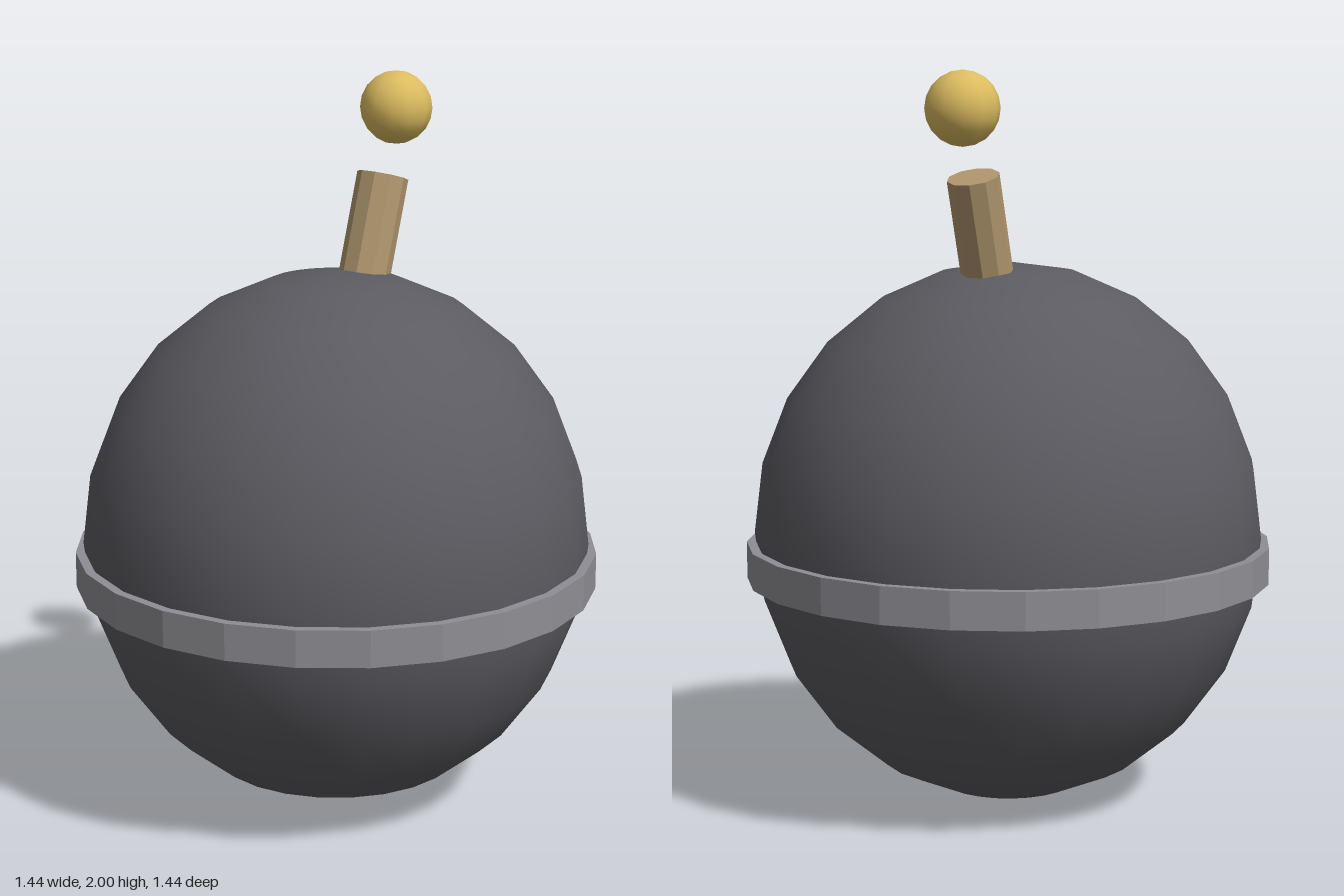
import * as THREE from 'three';

const bodyMat = new THREE.MeshStandardMaterial({ name: 'charcoal', color: 0x5b5b61 });
const bandMat = new THREE.MeshStandardMaterial({ name: 'grey metal', color: 0x8e8e94, flatShading: true });
const stemMat = new THREE.MeshStandardMaterial({ name: 'tan', color: 0xb0966e, flatShading: true });
const sparkMat = new THREE.MeshStandardMaterial({ name: 'gold', color: 0xdcbc60 });

function add(group, name, geometry, material, x, y) {
  const mesh = new THREE.Mesh(geometry, material);
  mesh.name = name;
  mesh.position.set(x, y, 0);
  group.add(mesh);
  return mesh;
}

export function createModel() {
  const group = new THREE.Group();
  group.name = 'roundBomb';

  // Slightly tall round body
  const bodyGeo = new THREE.SphereGeometry(0.7, 24, 12);
  bodyGeo.scale(1, 1.06, 1);
  add(group, 'body', bodyGeo, bodyMat, 0, 0.742);

  // Flat band just below the middle
  add(group, 'band', new THREE.CylinderGeometry(0.722, 0.722, 0.1, 24), bandMat, 0, 0.665);

  // Leaning stem, its foot sunk into the body
  const tilt = 0.3, length = 0.34;
  const stem = add(group, 'fuseStem', new THREE.CylinderGeometry(0.071, 0.071, length, 10), stemMat,
    0.208 - Math.sin(tilt) * length / 2, 1.72 - Math.cos(tilt) * length / 2);
  stem.rotation.z = -tilt;

  // Spark floating above the stem
  add(group, 'spark', new THREE.SphereGeometry(0.1, 12, 10), sparkMat, 0.267, 1.9);

  return group;
}
